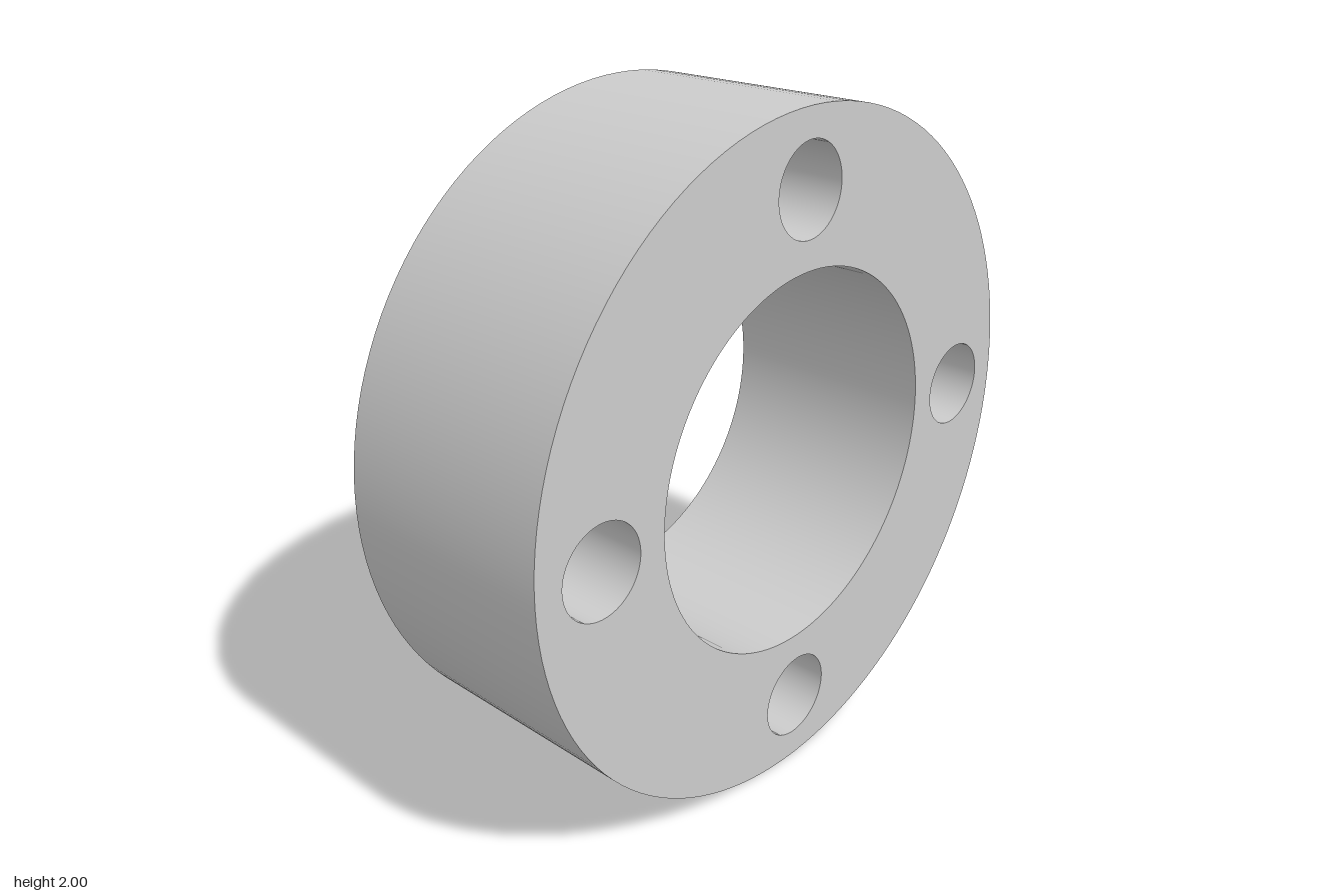
import * as THREE from 'three';

const OUTER = 1, BORE = 0.565, HALF = 0.347;
const HOLE_R = 0.132, HOLE_RING = 0.783, HOLE_DEPTH = 0.46;
const SEGMENTS = 128;

export function createModel() {
  const model = new THREE.Group();
  model.name = 'flangeRing';
  const material = new THREE.MeshStandardMaterial({ color: 0xcccccc });

  const add = (name, geometry, parent = model) => {
    const mesh = new THREE.Mesh(geometry, material);
    mesh.name = name;
    parent.add(mesh);
  };

  // One straight profile line (radius, axial position) turned about the x axis
  const turned = (r0, a0, r1, a1) => new THREE.LatheGeometry(
    [new THREE.Vector2(r0, a0), new THREE.Vector2(r1, a1)], SEGMENTS
  ).rotateZ(-Math.PI / 2);

  // Ring body; separate surfaces keep the rims sharp
  add('outerWall', turned(OUTER, -HALF, OUTER, HALF));
  add('boreWall', turned(BORE, HALF, BORE, -HALF));
  add('plainFace', turned(BORE, -HALF, OUTER, -HALF));

  // Drilled face on the +x side, with four blind holes behind it
  const face = new THREE.Shape().absarc(0, 0, OUTER, 0, Math.PI * 2);
  const cut = (x, y, r) =>
    face.holes.push(new THREE.Path().absarc(x, y, r, 0, Math.PI * 2, true));
  cut(0, 0, BORE);

  for (let i = 0; i < 4; i++) {
    const angle = i * Math.PI / 2;
    const u = HOLE_RING * Math.cos(angle), v = HOLE_RING * Math.sin(angle);
    cut(u, v, HOLE_R);

    const hole = new THREE.Group();
    hole.name = `boltHole${i + 1}`;
    hole.position.set(0, v, -u);
    const floor = HALF - HOLE_DEPTH;
    add('holeWall', turned(HOLE_R, HALF, HOLE_R, floor), hole);
    add('holeFloor', turned(HOLE_R, floor, 0, floor), hole);
    model.add(hole);
  }
  add('drilledFace', new THREE.ShapeGeometry(face, SEGMENTS / 2)
    .rotateY(Math.PI / 2).translate(HALF, 0, 0));

  // Stand the ring on the ground
  model.position.y = OUTER;
  return model;
}
